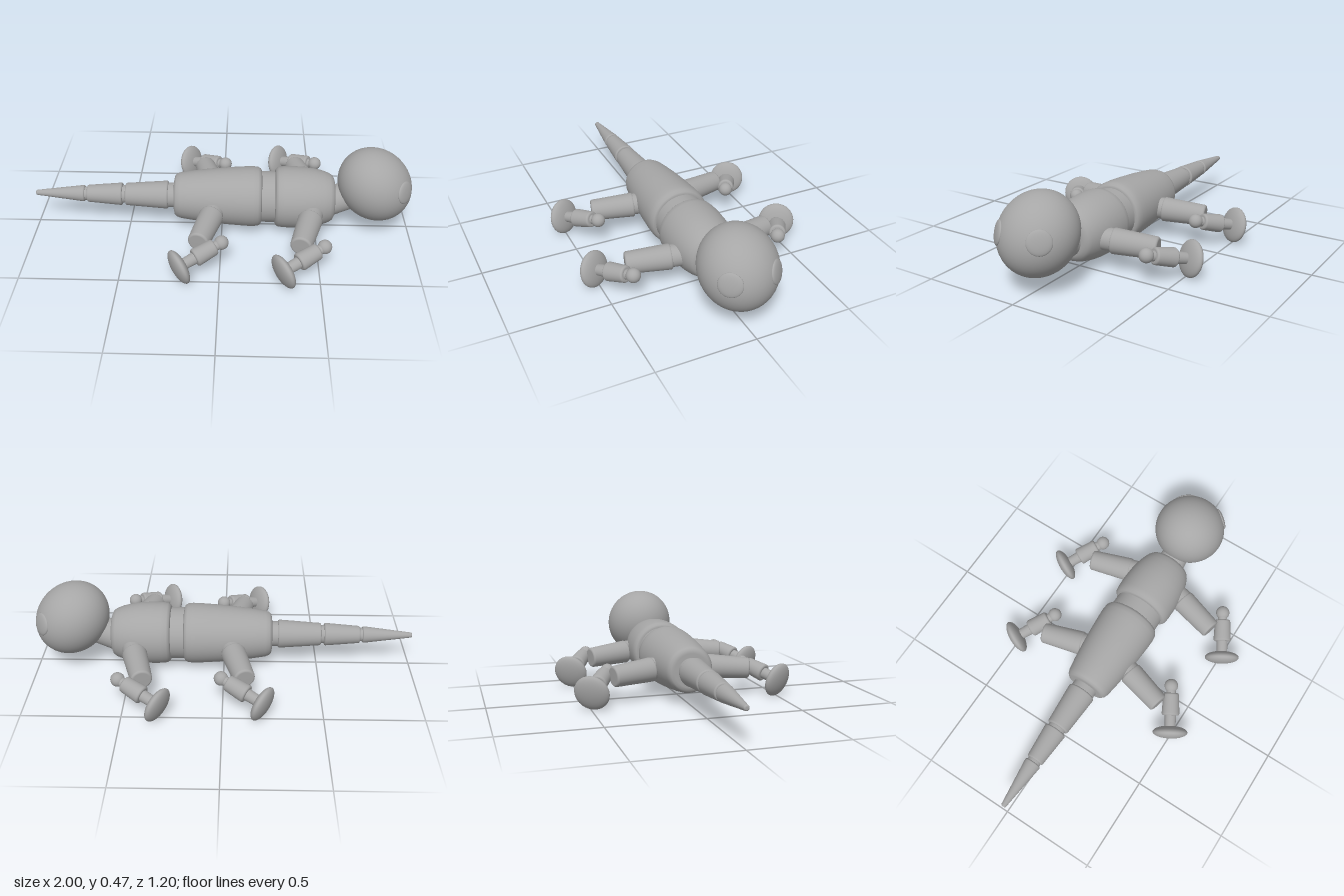
import * as THREE from 'three';

const skin = new THREE.MeshStandardMaterial({ color: 0xa6a6a6 });
skin.name = 'plain grey';
const UP = new THREE.Vector3(0, 1, 0);

// Lathe a profile of [radius, distance] pairs along the line from a towards b
function turned(name, a, b, profile, segments = 40) {
  const from = new THREE.Vector3(...a);
  const dir = new THREE.Vector3(...b).sub(from).normalize();
  const points = profile.map(([r, d]) => new THREE.Vector2(r, d));
  const mesh = new THREE.Mesh(new THREE.LatheGeometry(points, segments), skin);
  mesh.name = name;
  mesh.position.copy(from);
  mesh.quaternion.setFromUnitVectors(UP, dir);
  return mesh;
}

// Tapered rod with rounded rims
function rod(name, a, b, r0, r1, bevel = 0.012, bulge = 0) {
  const length = new THREE.Vector3(...a).distanceTo(new THREE.Vector3(...b));
  const profile = [[0, 0]];
  for (let i = 0; i <= 5; i++) {
    const t = (i / 5) * Math.PI / 2;
    profile.push([r0 - bevel + bevel * Math.sin(t), bevel - bevel * Math.cos(t)]);
  }
  for (let i = 1; i < 8; i++) {
    const t = i / 8;
    profile.push([r0 + (r1 - r0) * t + bulge * Math.sin(Math.PI * t), bevel + (length - 2 * bevel) * t]);
  }
  for (let i = 0; i <= 5; i++) {
    const t = (i / 5) * Math.PI / 2;
    profile.push([r1 - bevel + bevel * Math.cos(t), length - bevel + bevel * Math.sin(t)]);
  }
  profile.push([0, length]);
  return turned(name, a, b, profile);
}

function ellipsoid(name, position, scale) {
  const mesh = new THREE.Mesh(new THREE.SphereGeometry(1, 48, 32), skin);
  mesh.name = name;
  mesh.position.set(...position);
  mesh.scale.set(...scale);
  return mesh;
}

// One leg: x and z shift it, side mirrors it across the body
function makeLeg(name, x, z, side) {
  const leg = new THREE.Group();
  leg.name = name;
  const p = (px, py, pz) => [px + x, py, side * (pz + z)];
  leg.add(rod('hipJoint', p(0.485, 0.168, 0.08), p(0.455, 0.163, 0.2), 0.056, 0.056, 0.008));
  leg.add(rod('upperLeg', p(0.462, 0.16, 0.165), p(0.402, 0.147, 0.385), 0.064, 0.055, 0.012));

  // Lower leg runs outward and back from the knob to the foot
  const start = new THREE.Vector3(...p(0.52, 0.155, 0.39));
  const end = new THREE.Vector3(...p(0.315, 0.093, 0.512));
  const along = (t) => start.clone().lerp(end, t).toArray();
  leg.add(ellipsoid('elbowKnob', along(0), [0.036, 0.036, 0.036]));
  leg.add(rod('elbowPin', along(0), along(0.25), 0.025, 0.025, 0.004));
  leg.add(rod('lowerLeg', along(0.16), along(0.64), 0.042, 0.047, 0.011));
  leg.add(rod('ankle', along(0.55), along(0.95), 0.031, 0.028, 0.004));
  const foot = ellipsoid('foot', along(1), [0.092, 0.034, 0.092]);
  foot.quaternion.setFromUnitVectors(UP, end.clone().sub(start).normalize());
  leg.add(foot);
  return leg;
}

export function createModel() {
  const model = new THREE.Group();
  model.name = 'lizard';
  const Y = 0.185;
  const axis = (x) => [x, Y, 0];

  // Barrel-shaped body halves and the waist between them
  model.add(turned('rearBody', axis(-0.254), axis(1), [
    [0, 0], [0.088, 0], [0.105, 0.004], [0.115, 0.014], [0.123, 0.035], [0.133, 0.1],
    [0.144, 0.19], [0.153, 0.29], [0.159, 0.38], [0.16, 0.42], [0.157, 0.445],
    [0.149, 0.459], [0.135, 0.465], [0, 0.465]], 56));
  model.add(rod('waist', axis(0.18), axis(0.31), 0.136, 0.136, 0.006));
  model.add(turned('frontBody', axis(0.28), axis(1), [
    [0, 0], [0.137, 0], [0.15, 0.006], [0.159, 0.018], [0.163, 0.045], [0.164, 0.1],
    [0.161, 0.16], [0.154, 0.21], [0.143, 0.255], [0.13, 0.288], [0.118, 0.305],
    [0.1, 0.313], [0.085, 0.315], [0, 0.315]], 56));

  // Tail tapering through three jointed segments
  model.add(rod('tailJoint', axis(-0.23), axis(-0.31), 0.066, 0.066, 0.006));
  model.add(rod('tailBase', axis(-0.286), axis(-0.516), 0.075, 0.06, 0.01));
  model.add(rod('tailJoint', axis(-0.5), axis(-0.55), 0.048, 0.048, 0.004));
  model.add(rod('tailMiddle', axis(-0.532), axis(-0.722), 0.06, 0.046, 0.009));
  model.add(rod('tailJoint', axis(-0.71), axis(-0.75), 0.036, 0.036, 0.004));
  model.add(rod('tailTip', axis(-0.735), axis(-1), 0.044, 0.014, 0.008));

  // Neck and slightly tilted egg-shaped head
  model.add(rod('neck', [0.54, 0.155, 0], [0.74, 0.225, 0], 0.082, 0.068, 0.01));
  const headCentre = new THREE.Vector3(0.802, 0.276, 0);
  const radii = new THREE.Vector3(0.206, 0.182, 0.19);
  const head = ellipsoid('head', headCentre.toArray(), radii.toArray());
  head.rotation.z = -Math.PI / 4;
  model.add(head);

  // Round eyes lying on the head's surface
  for (const side of [1, -1]) {
    const local = new THREE.Vector3(0.142, 0.026, 0.12 * side).applyQuaternion(head.quaternion.clone().invert());
    local.divide(radii).normalize();
    const normal = local.clone().divide(radii).normalize().applyQuaternion(head.quaternion);
    const point = local.multiply(radii).applyQuaternion(head.quaternion).add(headCentre).addScaledVector(normal, -0.008);
    const eye = ellipsoid(side > 0 ? 'eyeNear' : 'eyeFar', point.toArray(), [0.059, 0.015, 0.059]);
    eye.quaternion.setFromUnitVectors(UP, normal);
    model.add(eye);
  }

  // Four splayed legs
  for (const side of [1, -1]) {
    model.add(makeLeg('frontLeg', 0, 0.004, side));
    model.add(makeLeg('rearLeg', -0.512, -0.015, side));
  }
  return model;
}
